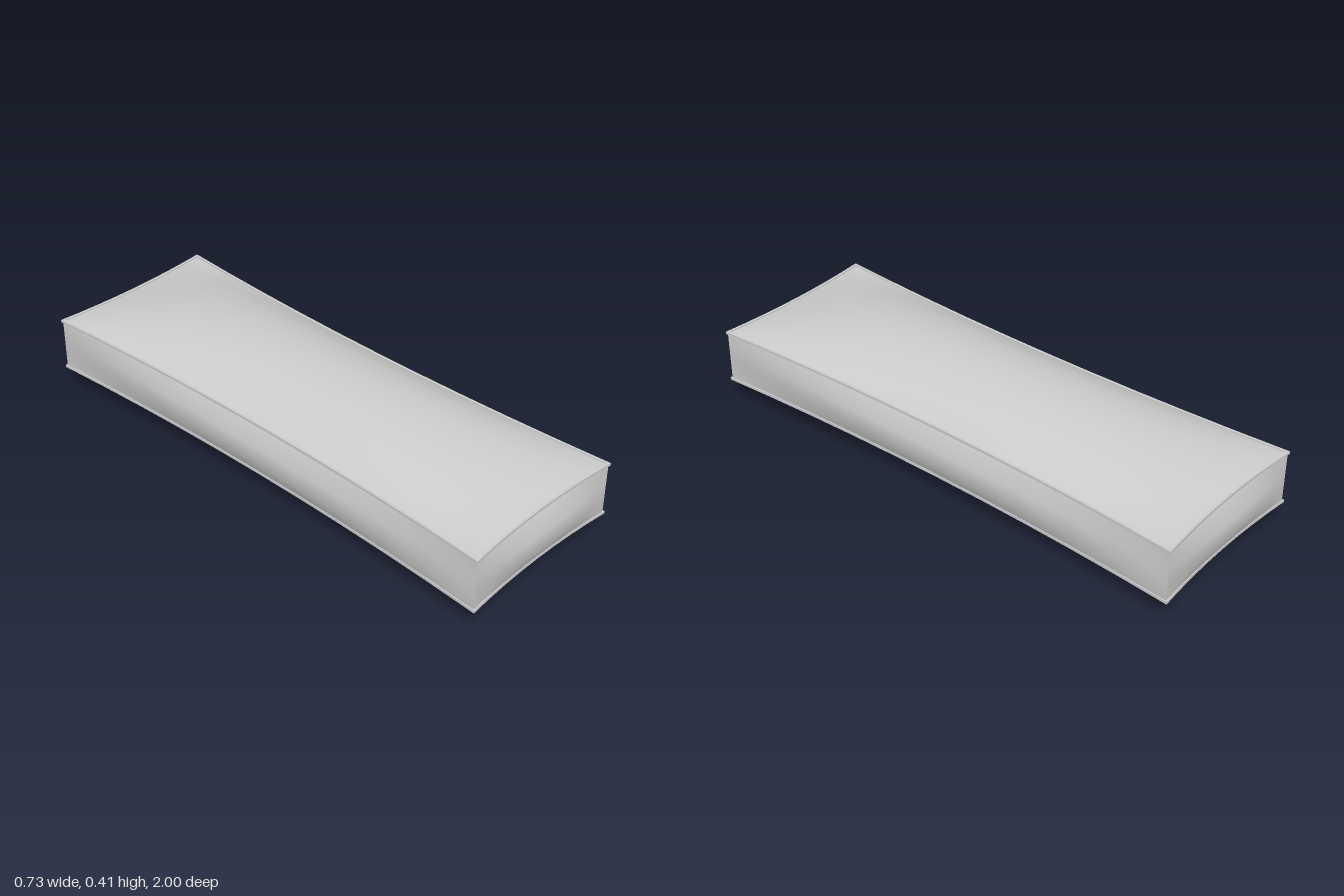
import * as THREE from 'three';
import { mergeGeometries } from 'three/addons/utils/BufferGeometryUtils.js';

const HALF_W = 0.334, HALF_L = 0.98;      // seam corners
const PINCH_X = 0.037, PINCH_Z = 0.018;   // how far the seams draw in mid-edge
const SEAM_LOW = 0.1, SEAM_HIGH = 0.297;
const SEG_W = 8, SEG_L = 10;

// Point on the pinched cushion plan, u and v in -1..1
const plan = (u, v) => [
  u * (HALF_W - PINCH_X * (1 - v * v)),
  v * (HALF_L - PINCH_Z * (1 - u * u)),
];

// Smooth grid surface; fn(a, b) takes 0..1 and the front faces da x db
function grid(na, nb, fn) {
  const pos = [], index = [];
  for (let j = 0; j <= nb; j++)
    for (let i = 0; i <= na; i++) pos.push(...fn(i / na, j / nb));
  for (let j = 0; j < nb; j++)
    for (let i = 0; i < na; i++) {
      const p = j * (na + 1) + i, q = p + na + 1;
      index.push(p, p + 1, q + 1, p, q + 1, q);
    }
  const g = new THREE.BufferGeometry();
  g.setAttribute('position', new THREE.Float32BufferAttribute(pos, 3));
  g.setIndex(index);
  g.computeVertexNormals();
  return g;
}

// Four sides of the outline, s in -1..1
const sides = [
  { at: s => [1, s], out: [1, 0], seg: SEG_L },
  { at: s => [-s, 1], out: [0, 1], seg: SEG_W },
  { at: s => [-1, -s], out: [-1, 0], seg: SEG_L },
  { at: s => [s, -1], out: [0, -1], seg: SEG_W },
];

// Domed panel; dir is 1 for the top and -1 for the bottom
function panel(y, height, dir) {
  return grid(SEG_L, SEG_W, (a, b) => {
    const v = a * 2 - 1, u = (b * 2 - 1) * dir;
    const [x, z] = plan(u, v);
    const dome = (1 - Math.abs(u) ** 2.2) * (1 - Math.abs(v) ** 2.9);
    return [x, y + dir * height * dome, z];
  });
}

// Border walls, each bulging outwards at its middle
function border() {
  return mergeGeometries(sides.map(({ at, out, seg }) => grid(3, seg, (a, b) => {
    const s = b * 2 - 1, h = a * 2 - 1;
    const [x, z] = plan(...at(s));
    const bulge = 0.04 * (1 - s * s) * (1 - h * h);
    return [x + out[0] * bulge, SEAM_LOW + a * (SEAM_HIGH - SEAM_LOW), z + out[1] * bulge];
  })));
}

// Square-section piping following the seam
function piping(y) {
  const r = 0.005;
  const ring = [[r, -r], [r, r], [-r, r], [-r, -r]];
  const strips = [];
  for (const { at, seg } of sides)
    ring.forEach((from, k) => {
      const to = ring[(k + 1) % 4];
      strips.push(grid(1, seg, (a, b) => {
        const [u, v] = at(b * 2 - 1);
        const [x, z] = plan(u, v);
        const [o, dy] = a ? to : from;
        return [x + o * u, y + dy, z + o * v];
      }));
    });
  return mergeGeometries(strips);
}

export function createModel() {
  const group = new THREE.Group();
  group.name = 'cushion';
  const material = new THREE.MeshStandardMaterial({ color: 0xcccccc });
  const add = (name, geometry) => {
    const mesh = new THREE.Mesh(geometry, material);
    mesh.name = name;
    group.add(mesh);
  };

  add('topPanel', panel(SEAM_HIGH, 0.111, 1));
  add('bottomPanel', panel(SEAM_LOW, 0.1, -1));
  add('border', border());
  add('topPiping', piping(SEAM_HIGH));
  add('bottomPiping', piping(SEAM_LOW));

  // The cushion lies slightly askew
  group.rotation.y = 0.026;
  return group;
}
